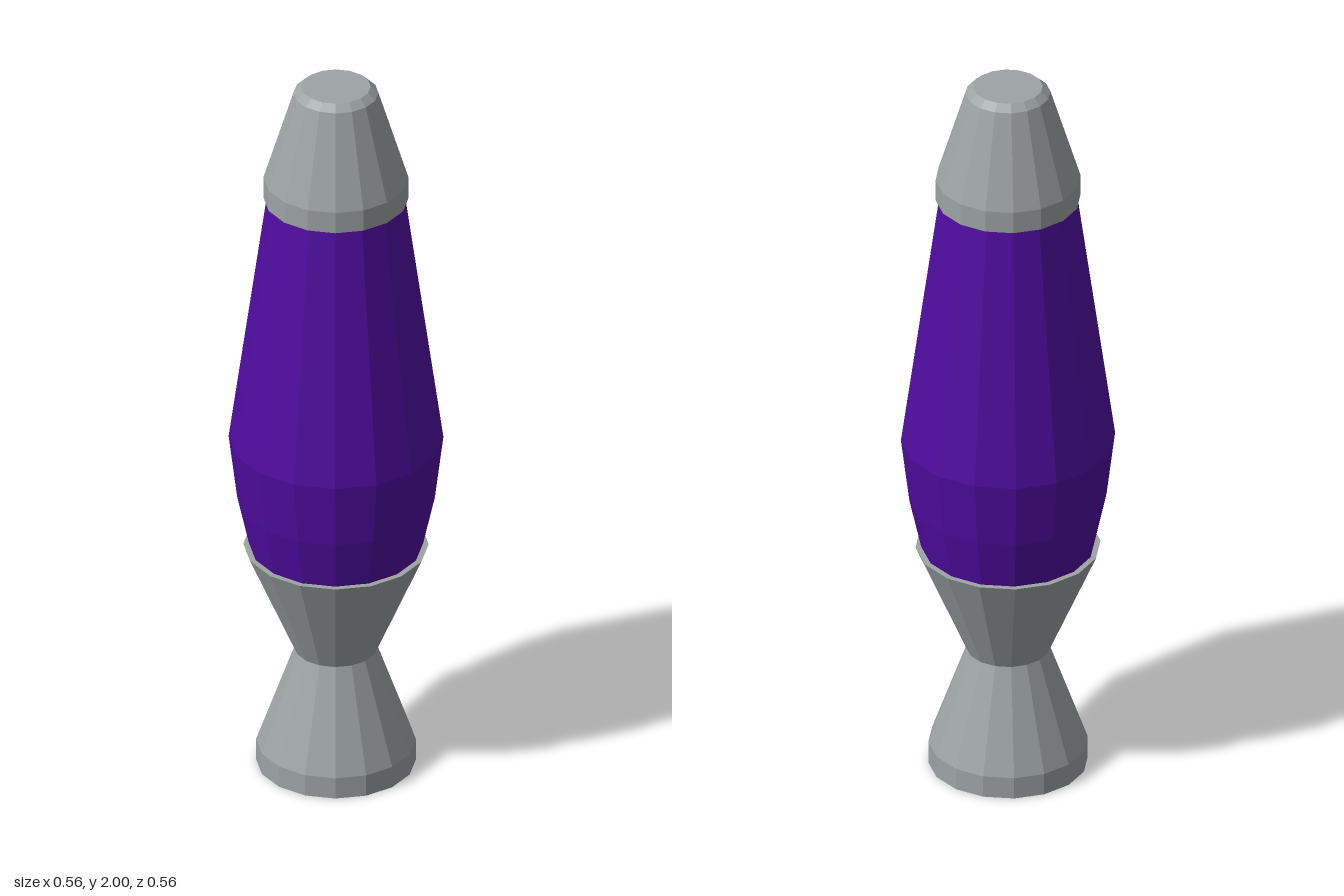
import * as THREE from 'three';

const SIDES = 16;

// Faceted turned part from [radius, y] points, listed bottom to top
function turned(name, points, material) {
  const profile = points.map(([r, y]) => new THREE.Vector2(r, y));
  const geometry = new THREE.LatheGeometry(profile, SIDES).toNonIndexed();
  geometry.computeVertexNormals();
  const mesh = new THREE.Mesh(geometry, material);
  mesh.name = name;
  return mesh;
}

export function createModel() {
  const metal = new THREE.MeshStandardMaterial({ color: 0x9da3a3, flatShading: true });
  metal.name = 'brushed grey metal';
  const purple = new THREE.MeshStandardMaterial({ color: 0x500ca0, flatShading: true });
  purple.name = 'purple liquid';

  const lamp = new THREE.Group();
  lamp.name = 'lavaLamp';

  // Hourglass stand with a flat rim around the bottle
  lamp.add(turned('base', [
    [0, 0], [0.207, 0], [0.207, 0.06], [0.108, 0.335], [0.24, 0.64], [0.222, 0.64],
  ], metal));

  // Bottle, tapering to the top and seated inside the rim
  lamp.add(turned('bottle', [
    [0, 0.62], [0.218, 0.62], [0.226, 0.645], [0.256, 0.78], [0.278, 0.96], [0.178, 1.68],
  ], purple));

  // Closed cap with a straight band and a bevelled top
  lamp.add(turned('cap', [
    [0, 1.67], [0.188, 1.67], [0.188, 1.73], [0.11, 1.982], [0.09, 2], [0, 2],
  ], metal));

  return lamp;
}
